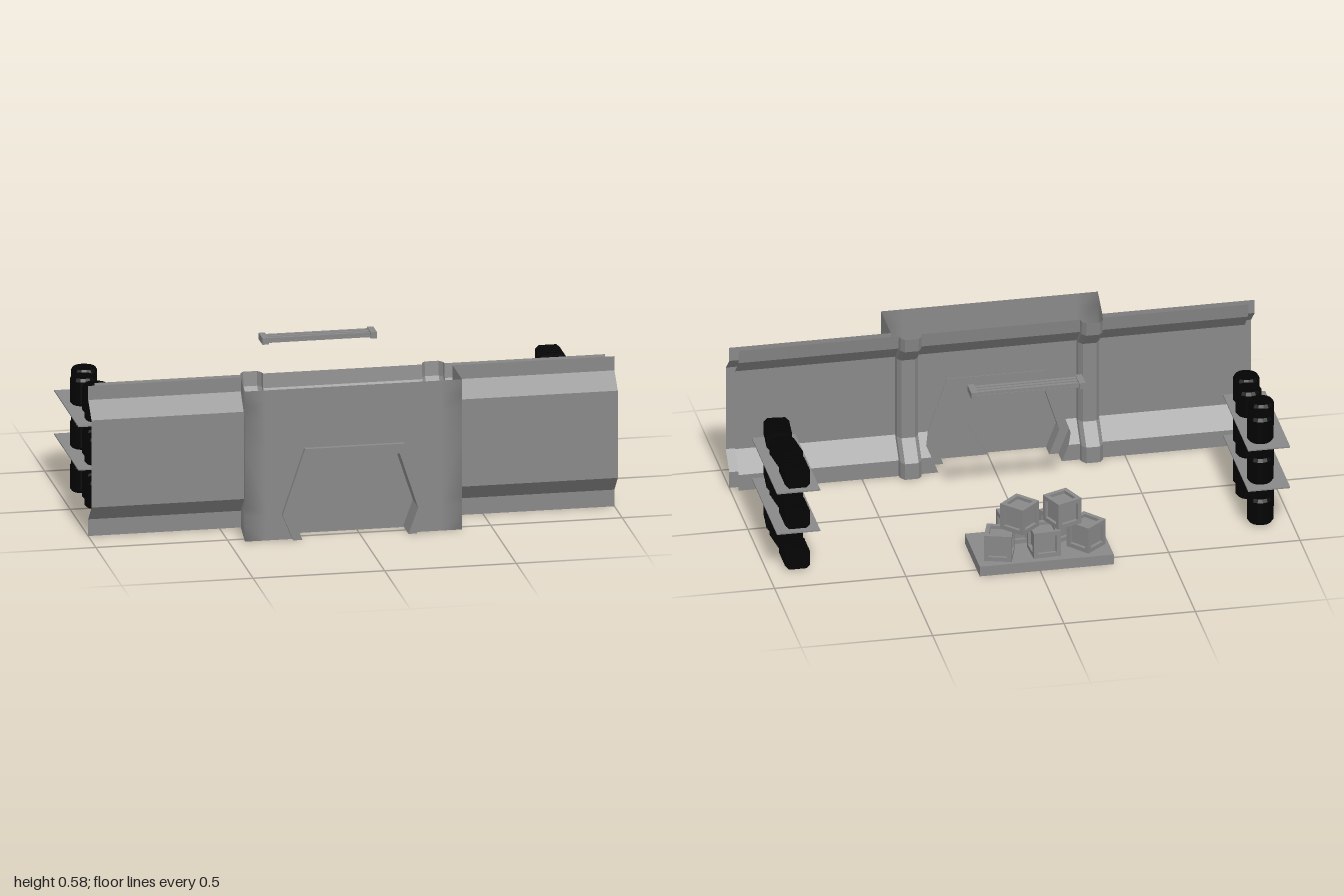
import * as THREE from 'three';

const grey = new THREE.MeshStandardMaterial({ color: 0x888888, side: THREE.DoubleSide });
const black = new THREE.MeshStandardMaterial({ color: 0x030303 });

// Heights at which any wall surface bends, and the bent wall profiles as [y, z]
const Y = [0, 0.065, 0.1, 0.14, 0.353, 0.465, 0.53, 0.585];
const OUTER = [[0, 0.35], [0.065, 0.35], [0.13, 0.415], [0.47, 0.415], [0.53, 0.35], [0.585, 0.35]];
const INNER = [[0, 0.32], [0.065, 0.32], [0.14, 0.388], [0.465, 0.388], [0.53, 0.325], [0.585, 0.317]];
// Door opening edges as [y, x]
const HEX_L = [[0, -0.26], [0.1, -0.3], [0.353, -0.215]];
const HEX_R = [[0, 0.21], [0.1, 0.25], [0.353, 0.165]];

function at(table, y) {
  for (let i = 1; i < table.length; i++) {
    const [y0, v0] = table[i - 1], [y1, v1] = table[i];
    if (y <= y1) return v0 + (v1 - v0) * (y - y0) / (y1 - y0);
  }
  return table[table.length - 1][1];
}

// Surface through rows of [x, y, z] points; flip turns its front to the other side
function sheet(rows, { smooth = false, flip = false } = {}) {
  const n = rows[0].length, index = [];
  for (let r = 0; r < rows.length - 1; r++) {
    for (let c = 0; c < n - 1; c++) {
      const a = r * n + c, b = a + 1, d = a + n, e = d + 1;
      index.push(...(flip ? [a, d, b, b, d, e] : [a, b, d, b, e, d]));
    }
  }
  let g = new THREE.BufferGeometry();
  g.setAttribute('position', new THREE.Float32BufferAttribute(rows.flat(2), 3));
  g.setIndex(index);
  if (!smooth) g = g.toNonIndexed();
  g.computeVertexNormals();
  return g;
}

function add(parent, name, geometry, x = 0, y = 0, z = 0, material = grey) {
  const m = new THREE.Mesh(geometry, material);
  m.name = name;
  m.position.set(x, y, z);
  parent.add(m);
}
const box = (w, h, d) => new THREE.BoxGeometry(w, h, d);

function slab(points, depth) {
  const shape = new THREE.Shape(points.map(p => new THREE.Vector2(...p)));
  return new THREE.ExtrudeGeometry(shape, { depth, bevelEnabled: false });
}

function buildWalls(g) {
  const strip = (name, prof, x0, x1, flip) =>
    add(g, name, sheet(prof.map(([y, z]) => [[x0, y, z], [x1, y, z]]), { flip }));
  strip('outerWallRight', OUTER, -1, -0.42, false);
  strip('outerWallLeft', OUTER, 0.385, 1, false);
  strip('innerWallRight', INNER, -0.97, -0.415, true);
  strip('innerWallLeft', INNER, 0.36, 0.97, true);

  // Bevelled ribs standing proud of the inner wall
  for (const cx of [-0.372, 0.318]) {
    const section = [[-0.043, 0], [-0.04, 0.018], [-0.026, 0.036], [0.026, 0.036], [0.04, 0.018], [0.043, 0]];
    add(g, 'wallRib', sheet(INNER.map(([y, z]) => section.map(([x, d]) => [cx + x, y, z - d])), { flip: true }));
  }

  // Inner wall around the doorway
  const low = Y.filter(y => y <= 0.353), high = Y.filter(y => y >= 0.353);
  const inZ = y => at(INNER, y);
  for (const [edge, hex, right] of [[-0.33, HEX_L, true], [0.275, HEX_R, false]]) {
    add(g, 'innerWallBesideDoor',
      sheet(low.map(y => [[edge, y, inZ(y)], [at(hex, y), y, inZ(y)]]), { flip: right }));
    add(g, 'doorJamb',
      sheet(low.map(y => [[at(hex, y), y, inZ(y)], [at(hex, y), y, 0.39]]), { flip: right }));
  }
  add(g, 'innerWallAboveDoor', sheet(high.map(y =>
    [-0.33, -0.215, 0.165, 0.275].map(x => [x, y, inZ(y)])), { flip: true }));

  // Projecting porch: softly shaded corners, front cut out for the door
  const ys = [0, 0.065, 0.1, 0.13, 0.353, 0.47, 0.53, 0.585];
  for (const [back, front, s, hex] of [[-0.42, -0.44, 1, HEX_L], [0.385, 0.385, -1, HEX_R]]) {
    add(g, 'porchSide', sheet(ys.map(y => [
      [back, y, at(OUTER, y)], [front, y, 0.533], [front + s * 0.08, y, 0.533], [at(hex, y), y, 0.533],
    ]), { smooth: true, flip: s < 0 }));
  }
  add(g, 'porchFront', sheet(high.map(y => [[-0.215, y, 0.533], [0.165, y, 0.533]])));
}

function buildDoor(g) {
  // Six-sided frame running through the porch
  add(g, 'doorFrame', slab([
    [-0.26, 0], [-0.3, 0.1], [-0.215, 0.353], [0.165, 0.353], [0.25, 0.1], [0.21, 0],
    [0.178, 0], [0.215, 0.1], [0.145, 0.315], [-0.195, 0.315], [-0.263, 0.1], [-0.225, 0],
  ], 0.167), 0, 0, 0.385);

  // Two overlapping leaves with jagged edges
  add(g, 'doorLeafRight', slab([
    [-0.225, 0], [0.175, 0], [0.185, 0.11], [0.185, 0.185], [0.135, 0.25], [0.135, 0.315],
    [-0.195, 0.315], [-0.263, 0.1],
  ], 0.015), 0, 0, 0.446);
  add(g, 'doorLeafLeft', slab([
    [0, 0], [0.178, 0], [0.215, 0.1], [0.145, 0.315], [0.1, 0.315], [0.04, 0.22], [0.08, 0.14],
  ], 0.015), 0, 0, 0.43);
}

// Crate with a raised frame along all twelve edges
function crate(size) {
  const g = new THREE.Group(), t = size * 0.16, o = (size - t) / 2;
  g.name = 'crate';
  add(g, 'cratePanels', box(size * 0.76, size * 0.76, size * 0.76));
  for (const a of [-o, o]) {
    for (const b of [-o, o]) {
      add(g, 'crateEdge', box(size, t, t), 0, a, b);
      add(g, 'crateEdge', box(t, size, t), a, 0, b);
      add(g, 'crateEdge', box(t, t, size), a, b, 0);
    }
  }
  return g;
}

function buildCrates(g) {
  add(g, 'cratePlatform', box(0.51, 0.04, 0.28), -0.025, 0.02, -0.415);
  const places = [
    [-0.195, 0, -0.455, 0.7], [-0.11, 0, -0.355, 0.5], [-0.03, 0, -0.475, 0.05],
    [0.14, 0, -0.475, -0.3], [0.06, 0, -0.345, 0.08],
    [0.06, 1, -0.465, 0.75], [-0.105, 1, -0.45, 0.4],
  ];
  for (const [x, level, z, turn] of places) {
    const c = crate(0.104);
    c.position.set(x, 0.092 + level * 0.105, z);
    c.rotation.y = turn;
    g.add(c);
  }
}

// Eight-sided block lying along z, used for the case body and its ridges
function chamferedBlock(w, h, d, c) {
  const x = w / 2;
  return slab([
    [-x + c, 0], [x - c, 0], [x, c], [x, h - c], [x - c, h], [-x + c, h], [-x, h - c], [-x, c],
  ], d).translate(0, 0, -d / 2);
}

function buildShelves(g) {
  // Barrel outline: chamfered rims around a slightly wider body
  const outline = [[0, 0], [0.042, 0], [0.05, 0.01], [0.05, 0.095], [0.043, 0.108], [0, 0.108]]
    .map(p => new THREE.Vector2(...p));
  const barrel = new THREE.LatheGeometry(outline, 16).toNonIndexed();
  barrel.computeVertexNormals();
  const body = chamferedBlock(0.09, 0.076, 0.126, 0.012);
  const ridge = chamferedBlock(0.096, 0.079, 0.014, 0.014);

  for (const base of [0.007, 0.176, 0.345]) {
    if (base > 0.1) {
      add(g, 'shelfRight', box(0.16, 0.005, 0.47), -0.903, base - 0.003, -0.165);
      add(g, 'shelfLeft', box(0.165, 0.005, 0.47), 0.888, base - 0.003, -0.165);
    }
    for (const [x, z] of [[-0.885, -0.32], [-0.91, -0.212], [-0.885, -0.1], [-0.897, 0.002]]) {
      add(g, 'barrel', barrel, x, base, z, black);
    }
    for (const [z, turn] of [[-0.31, 0], [-0.155, 0.1], [0.005, -0.1]]) {
      const pack = new THREE.Group();
      pack.name = 'supplyCase';
      pack.position.set(0.885, base, z);
      pack.rotation.y = turn;
      add(pack, 'caseBody', body, 0, 0, 0, black);
      for (let i = 0; i < 5; i++) add(pack, 'caseRidge', ridge, 0, 0, -0.048 + i * 0.024, black);
      g.add(pack);
    }
  }
}

function buildLamp(g) {
  // Ceiling lamp: three tubes between end caps
  for (const x of [-0.233, 0.178]) add(g, 'lampEnd', box(0.024, 0.025, 0.074), x, 0.5725, -0.162);
  add(g, 'lampBacking', box(0.4, 0.006, 0.06), -0.0275, 0.567, -0.162);
  for (const z of [-0.183, -0.162, -0.141]) {
    add(g, 'lampTube', box(0.4, 0.018, 0.014), -0.0275, 0.573, z);
  }
}

export function createModel() {
  const model = new THREE.Group();
  model.name = 'storageRoom';
  const parts = {
    walls: buildWalls, door: buildDoor, crateStack: buildCrates, shelves: buildShelves, ceilingLamp: buildLamp,
  };
  for (const [name, build] of Object.entries(parts)) {
    const g = new THREE.Group();
    g.name = name;
    build(g);
    model.add(g);
  }
  return model;
}
